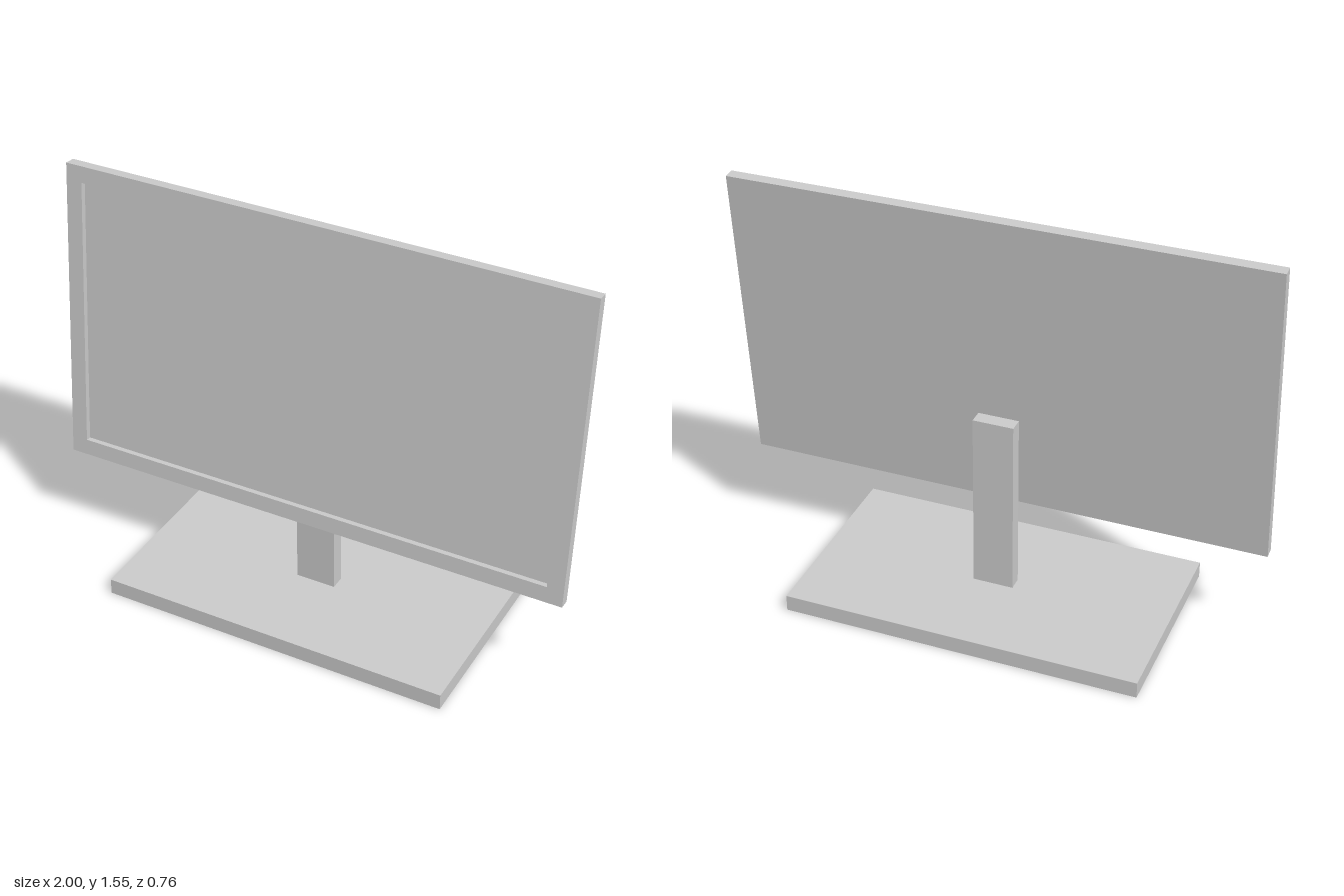
import * as THREE from 'three';

const material = new THREE.MeshStandardMaterial({ color: 0xcccccc, flatShading: true });

function addPart(parent, name, geometry, x, y, z) {
  const mesh = new THREE.Mesh(geometry, material);
  mesh.name = name;
  mesh.position.set(x, y, z);
  parent.add(mesh);
  return mesh;
}

function rectangle(PathType, w, h) {
  return new PathType([[-1, -1], [1, -1], [1, 1], [-1, 1]]
    .map(([sx, sy]) => new THREE.Vector2(sx * w / 2, sy * h / 2)));
}

export function createModel() {
  const model = new THREE.Group();
  model.name = 'monitor';

  // Stand: flat base plate and upright post
  const baseHeight = 0.063, postTop = 0.76;
  addPart(model, 'base', new THREE.BoxGeometry(1.36, baseHeight, 0.764), 0, baseHeight / 2, 0);
  addPart(model, 'post', new THREE.BoxGeometry(0.155, postTop - baseHeight, 0.055),
    0, (postTop + baseHeight) / 2, 0);

  // Display: tilted back five degrees
  const width = 2, height = 1.172, depth = 0.042, recess = 0.021, bezel = 0.0625;
  const display = new THREE.Group();
  display.name = 'display';
  display.position.set(0, 0.969, 0.043);
  display.rotation.x = -THREE.MathUtils.degToRad(5);
  model.add(display);

  // Frame around the recessed screen
  const frame = rectangle(THREE.Shape, width, height);
  frame.holes.push(rectangle(THREE.Path, width - 2 * bezel, height - 2 * bezel));
  addPart(display, 'frame', new THREE.ExtrudeGeometry(frame, { depth, bevelEnabled: false }),
    0, 0, -depth / 2);

  // Screen panel fills the frame, flush with its back
  addPart(display, 'screen',
    new THREE.BoxGeometry(width - 2 * bezel, height - 2 * bezel, depth - recess),
    0, 0, -recess / 2);

  return model;
}
